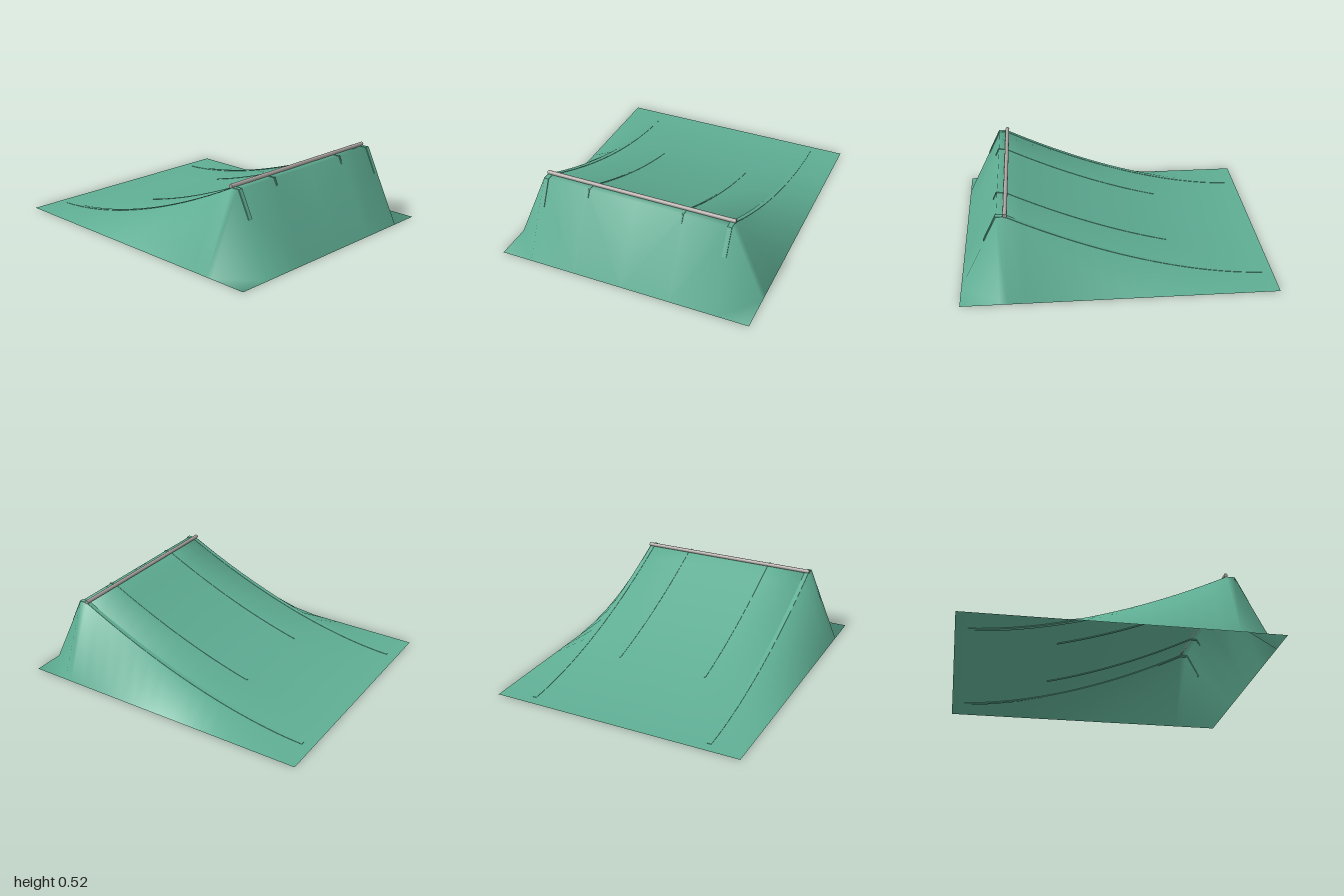
import * as THREE from 'three';

const TOP = 0.495, LIP = 0.705, CREST = 0.755, START = -0.97;

// height of the curved deck at depth z
const deckY = z => TOP * Math.pow(Math.max(0, (z - START) / (LIP - START)), 1.73);

// open shell: curved deck, sloping sides and front, skirt resting on the ground
function shellGeometry() {
  const xs = [-0.85, -0.64, -0.32, 0, 0.32, 0.64, 0.85];
  const zs = [-1];
  for (let k = 0; k <= 16; k++) zs.push(START + (LIP - START) * k / 16);
  zs.push(CREST, 1);
  const n = xs.length, last = zs.length - 1;
  const pos = [], idx = [];
  zs.forEach((z, j) => xs.forEach((x, i) => {
    const onGround = i === 0 || i === n - 1 || j === last;
    pos.push(x, onGround ? 0 : deckY(Math.min(z, LIP)), z);
  }));
  for (let j = 0; j < last; j++) {
    for (let i = 0; i < n - 1; i++) {
      const a = j * n + i, b = a + n, c = b + 1, d = a + 1;
      // mirrored diagonals fold the front corners inward
      if (i < (n - 1) / 2) idx.push(a, b, c, a, c, d);
      else idx.push(a, b, d, b, c, d);
    }
  }
  const g = new THREE.BufferGeometry();
  g.setAttribute('position', new THREE.Float32BufferAttribute(pos, 3));
  g.setIndex(idx);
  g.computeVertexNormals();
  // front corners shade along with the front slope
  for (const v of [last * n, last * n + n - 1]) g.attributes.normal.setXYZ(v, 0, 0.5, 0.866);
  return g;
}

// thin rib lying on the deck and wrapping over the crest
function ribGeometry(x, width, zBack, yFront) {
  const lift = 0.003, s = new THREE.Shape(), steps = 20;
  const path = [];
  for (let k = 0; k <= steps; k++) {
    const z = zBack + (LIP - zBack) * k / steps;
    path.push([z, deckY(z)]);
  }
  s.moveTo(zBack, deckY(zBack));
  path.forEach(([z, y]) => s.lineTo(z, y + lift));
  s.lineTo(CREST + 0.006, TOP + lift);
  const zFront = CREST + (1 - CREST) * (1 - yFront / TOP);
  s.lineTo(zFront + 0.006, yFront);
  s.lineTo(zFront - 0.004, yFront);
  s.lineTo(CREST - 0.006, TOP - 0.006);
  path.reverse().forEach(([z, y]) => s.lineTo(z, Math.max(0, y - 0.006)));
  const g = new THREE.ExtrudeGeometry(s, { depth: width, bevelEnabled: false });
  g.rotateY(-Math.PI / 2);
  g.translate(x + width / 2, 0, 0);
  return g;
}

export function createModel() {
  const group = new THREE.Group();
  const green = new THREE.MeshStandardMaterial({ color: 0x5fae94, side: THREE.DoubleSide });
  green.name = 'ramp green';
  const grey = new THREE.MeshStandardMaterial({ color: 0xaaa4a0 });
  grey.name = 'rail grey';

  const add = (name, geometry, material) => {
    const m = new THREE.Mesh(geometry, material);
    m.name = name;
    group.add(m);
    return m;
  };

  add('rampShell', shellGeometry(), green);

  // ribs, mirrored left and right
  for (const side of [-1, 1]) {
    add('outerRib', ribGeometry(side * 0.62, 0.028, -0.93, 0.33), green);
    add('innerRib', ribGeometry(side * 0.318, 0.01, -0.35, 0.45), green);
  }

  // round rail along the lip
  const rail = add('lipRail', new THREE.CylinderGeometry(0.013, 0.013, 1.28, 16), grey);
  rail.rotation.z = Math.PI / 2;
  rail.position.set(0, 0.505, 0.7);

  return group;
}
